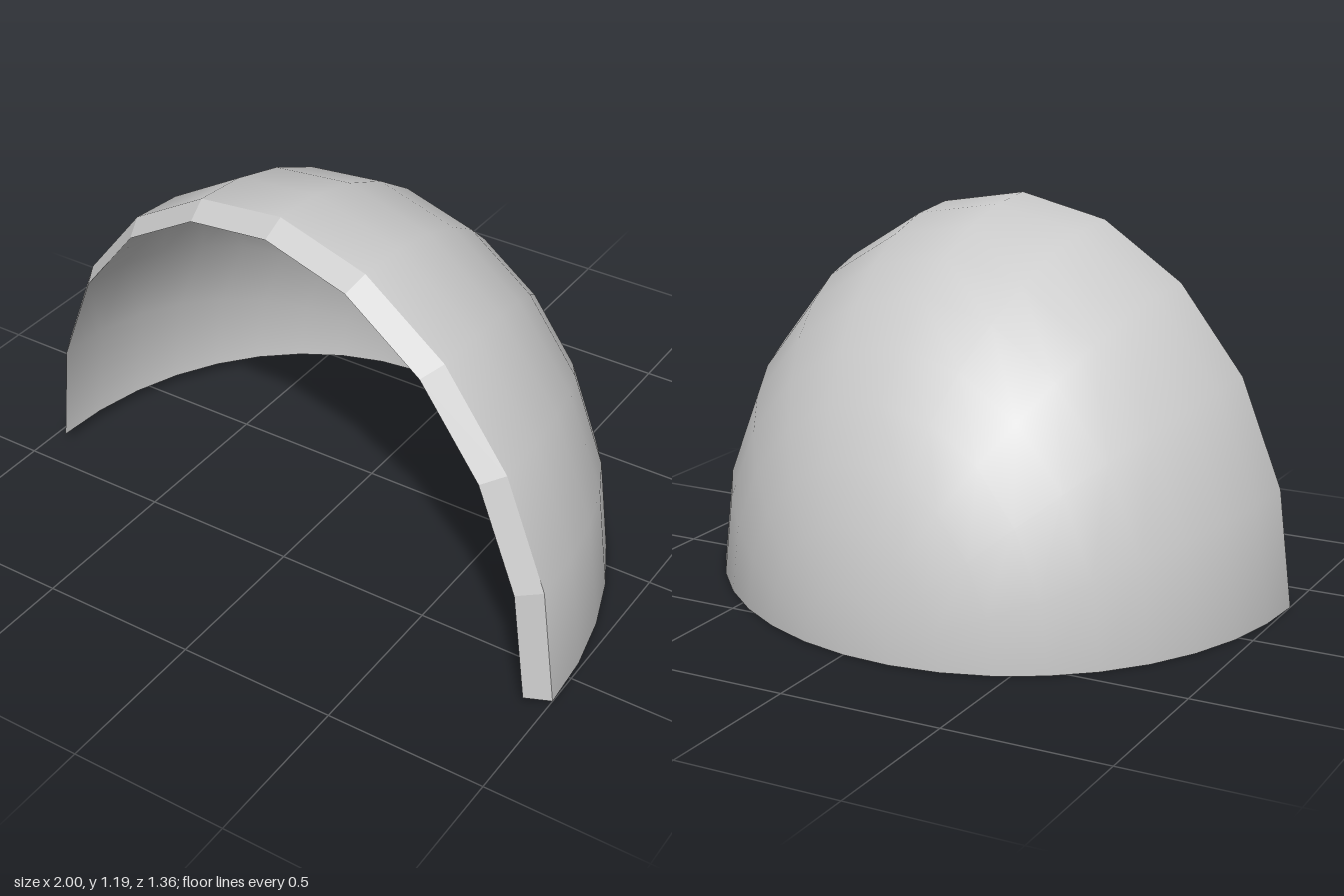
import * as THREE from 'three';

const N = 10; // segments around the arch and from pole to rim

export function createModel() {
  const group = new THREE.Group();
  const material = new THREE.MeshStandardMaterial({ color: 0xcccccc });
  const add = (name, geometry) => {
    const mesh = new THREE.Mesh(geometry, material);
    mesh.name = name;
    group.add(mesh);
  };

  // Outer skin: quarter sphere with its pole at the back, stretched and
  // skewed so the opening runs diagonally
  const outer = new THREE.SphereGeometry(1, N, N, 0, Math.PI, 0, Math.PI / 2);
  outer.rotateX(-Math.PI / 2);
  outer.applyMatrix4(new THREE.Matrix4().set(
    1, 0, 0, 0,
    0, 1.192, 0, 0,
    0.144, 0, 1.138, 0.467,
    0, 0, 0, 1,
  ));
  add('outerShell', outer);

  // Inner skin: smaller copy moved up and forward, turned inside out
  const inner = outer.clone();
  inner.scale(0.94, 0.94, 0.94).translate(0, 0.036, 0.104);
  inner.index.array.reverse();
  const normals = inner.attributes.normal;
  for (let i = 0; i < normals.array.length; i++) normals.array[i] *= -1;
  add('innerShell', inner);

  // Flat-faced strip joining the two skins along a run of grid vertices
  const strip = (ids) => {
    const positions = [];
    const point = (geometry, id) => new THREE.Vector3()
      .fromBufferAttribute(geometry.attributes.position, id).toArray();
    for (let k = 0; k < ids.length - 1; k++) {
      const [a, b] = [ids[k], ids[k + 1]];
      const [o0, o1, i0, i1] = [point(outer, a), point(outer, b), point(inner, a), point(inner, b)];
      positions.push(...o0, ...i0, ...o1, ...o1, ...i0, ...i1);
    }
    const geometry = new THREE.BufferGeometry();
    geometry.setAttribute('position', new THREE.Float32BufferAttribute(positions, 3));
    geometry.computeVertexNormals();
    return geometry;
  };

  const steps = Array.from({ length: N + 1 }, (_, i) => i);
  const row = N + 1;
  // Front arch, then the lower edge from the left end round the back to the right
  add('frontRim', strip(steps.map((j) => N * row + j)));
  add('lowerRimLeft', strip(steps.map((i) => (N - i) * row + N)));
  add('lowerRimRight', strip(steps.map((i) => i * row)));

  return group;
}
